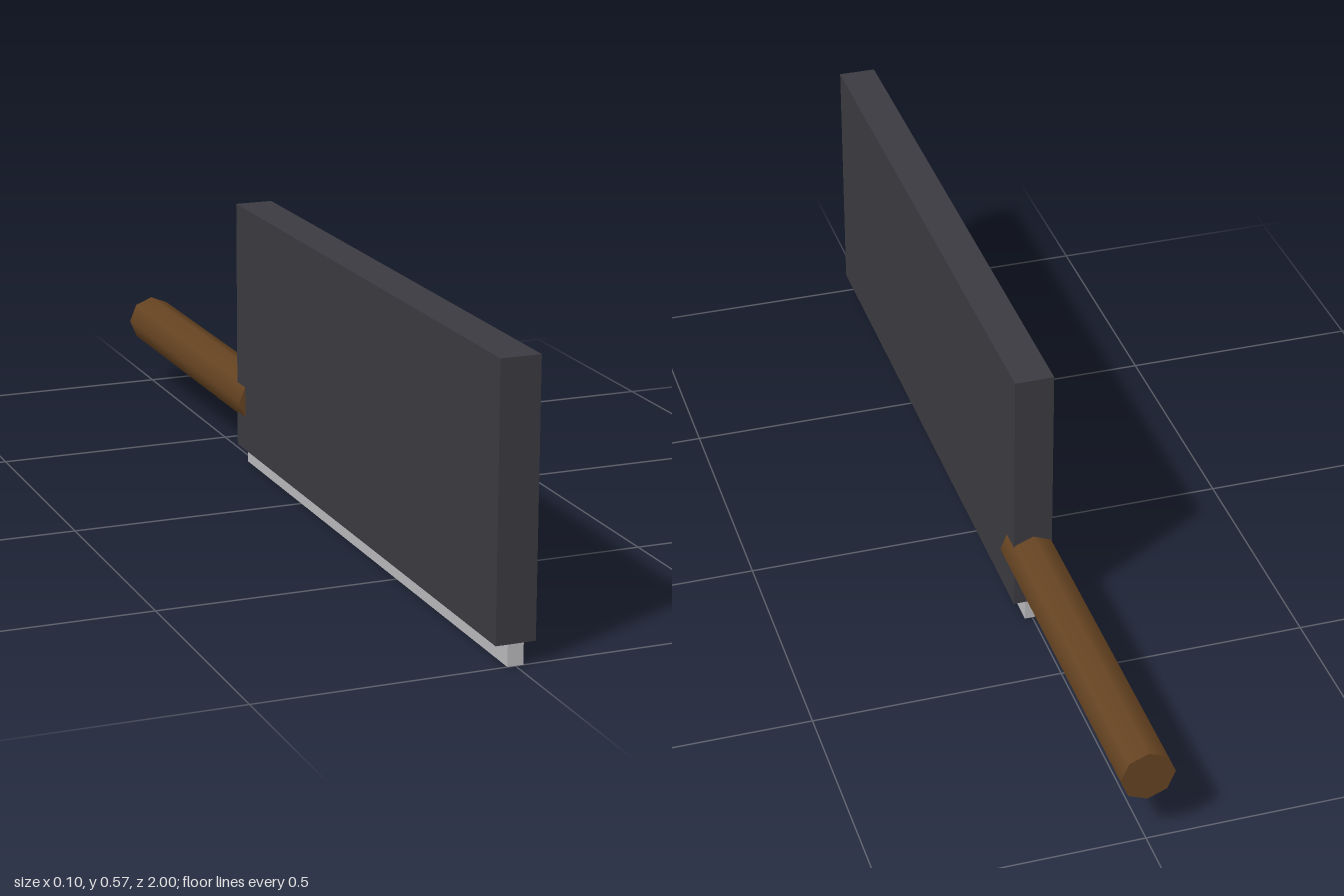
import * as THREE from 'three';

export function createModel() {
  const model = new THREE.Group();
  model.name = 'cleaver';

  const mat = (name, color) => {
    const m = new THREE.MeshStandardMaterial({ color });
    m.name = name;
    return m;
  };
  const darkSteel = mat('dark steel', 0x3a3a40);
  const brightSteel = mat('bright steel', 0xb8b8bc);
  const wood = mat('brown wood', 0x654321);

  const add = (name, geometry, material, y, z) => {
    const mesh = new THREE.Mesh(geometry, material);
    mesh.name = name;
    mesh.position.set(0, y, z);
    model.add(mesh);
  };

  // Blade slab and the narrow cutting edge beneath it
  const back = -0.313, front = 1;
  const length = front - back, midZ = (front + back) / 2;
  const bladeBottom = 0.042, bladeTop = 0.566;
  add('blade', new THREE.BoxGeometry(0.078, bladeTop - bladeBottom, length),
    darkSteel, (bladeTop + bladeBottom) / 2, midZ);
  add('cuttingEdge', new THREE.BoxGeometry(0.031, bladeBottom, length),
    brightSteel, bladeBottom / 2, midZ);

  // Eight-sided handle, smooth shaded, running a little way into the blade
  const handleFront = -0.265, handleBack = -1;
  const handle = new THREE.CylinderGeometry(0.0525, 0.0525, handleFront - handleBack, 8);
  handle.rotateX(Math.PI / 2);
  add('handle', handle, wood, 0.147, (handleFront + handleBack) / 2);

  return model;
}
